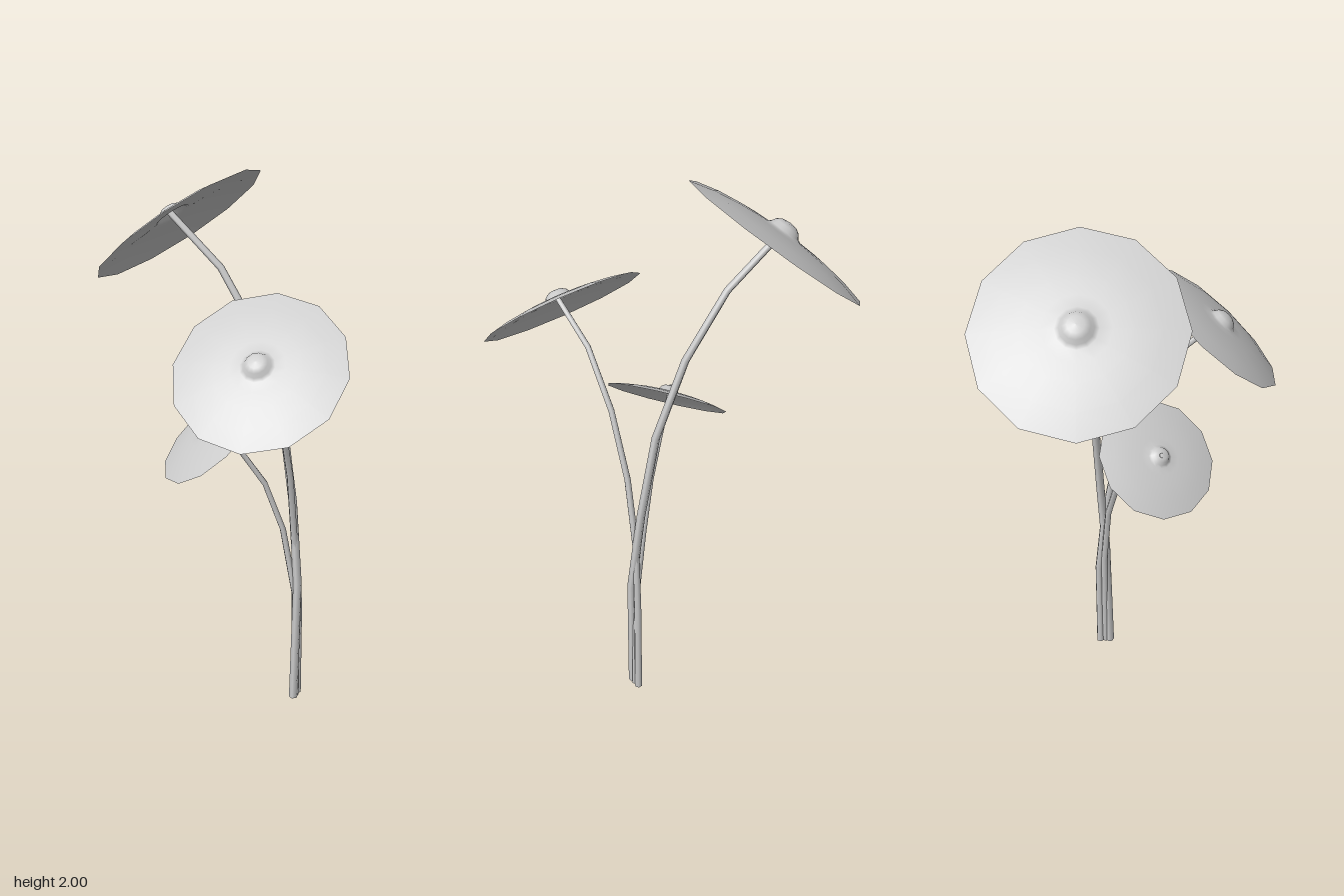
import * as THREE from 'three';

// Polyline path: one tube ring per control point
class StemPath extends THREE.Curve {
  constructor(points) {
    super();
    this.points = points.map((p) => new THREE.Vector3(...p));
    this.last = points.length - 1;
  }
  getPointAt(u, target = new THREE.Vector3()) {
    return target.copy(this.points[Math.round(u * this.last)]);
  }
  getPoint(u, target) {
    return this.getPointAt(u, target);
  }
  getTangentAt(u, target = new THREE.Vector3()) {
    const i = Math.round(u * this.last);
    const a = this.points[Math.max(i - 1, 0)];
    const b = this.points[Math.min(i + 1, this.last)];
    return target.subVectors(b, a).normalize();
  }
}

const SIDES = 6;

// Cap profile (radius, height) for a unit radius: shallow dome, shallow moat, central knob
const CAP_PROFILE = [
  [1, 0], [0.75, 0.06], [0.5, 0.095], [0.32, 0.108], [0.2, 0.115],
  [0.16, 0.135], [0.13, 0.18], [0.08, 0.21], [0, 0.22],
].map(([r, h]) => new THREE.Vector2(r, h));

const PLANTS = [
  {
    name: 'tall',
    center: [0.05, 1.78, -0.342], normal: [-0.2, 0.77, -0.6], radius: 0.342, corner: [0.07, -0.27],
    stemRadius: [0.017, 0.012],
    stem: [[0.197, 0, 0.157], [0.205, 0.5, 0.155], [0.206, 0.82, 0.118], [0.195, 1.15, 0.062],
      [0.163, 1.43, -0.04], [0.11, 1.65, -0.18], [0.033, 1.825, -0.38]],
  },
  {
    name: 'middle',
    center: [-0.148, 1.475, 0.34], normal: [-0.566, 0.75, 0.34], radius: 0.29, corner: [0.048, 0.27],
    stemRadius: [0.015, 0.01],
    stem: [[0.232, 0, 0.14], [0.23, 0.4, 0.137], [0.2, 0.68, 0.137], [0.155, 0.95, 0.157],
      [0.075, 1.19, 0.2], [-0.03, 1.385, 0.265], [-0.172, 1.515, 0.362]],
  },
  {
    name: 'short',
    center: [-0.073, 1.122, -0.007], normal: [-0.58, 0.754, -0.305], radius: 0.219, corner: [0.154, 0.06],
    stemRadius: [0.014, 0.009],
    stem: [[0.214, 0, 0.15], [0.207, 0.45, 0.14], [0.17, 0.72, 0.107], [0.11, 0.91, 0.072],
      [0.025, 1.055, 0.025], [-0.1, 1.158, -0.028]],
  },
];

function makeStem({ stem, stemRadius: [r0, r1] }, material) {
  const path = new StemPath(stem);
  const geometry = new THREE.TubeGeometry(path, path.last, 1, SIDES, false);
  // Taper each ring towards the cap
  const pos = geometry.attributes.position;
  const v = new THREE.Vector3();
  for (let i = 0; i < pos.count; i++) {
    const ring = Math.floor(i / (SIDES + 1));
    const c = path.points[ring];
    v.fromBufferAttribute(pos, i).sub(c);
    v.multiplyScalar(THREE.MathUtils.lerp(r0, r1, ring / path.last)).add(c);
    pos.setXYZ(i, v.x, Math.max(v.y, 0), v.z);
  }
  return new THREE.Mesh(geometry, material);
}

function makeCap({ center, normal, radius, corner }, material) {
  const mesh = new THREE.Mesh(new THREE.LatheGeometry(CAP_PROFILE, 12), material);
  // Tilt to the normal and turn so one rim corner falls on the given x, z offset
  const up = new THREE.Vector3(...normal).normalize();
  const [dx, dz] = corner;
  const front = new THREE.Vector3(dx, -(up.x * dx + up.z * dz) / up.y, dz).normalize();
  const side = new THREE.Vector3().crossVectors(up, front);
  mesh.quaternion.setFromRotationMatrix(new THREE.Matrix4().makeBasis(side, up, front));
  mesh.position.set(...center);
  mesh.scale.setScalar(radius);
  return mesh;
}

export function createModel() {
  const group = new THREE.Group();
  group.name = 'mushroomCluster';
  const material = new THREE.MeshStandardMaterial({ color: 0xcccccc, side: THREE.DoubleSide });
  for (const plant of PLANTS) {
    const mushroom = new THREE.Group();
    mushroom.name = `${plant.name}Mushroom`;
    const stem = makeStem(plant, material);
    stem.name = `${plant.name}Stem`;
    const cap = makeCap(plant, material);
    cap.name = `${plant.name}Cap`;
    mushroom.add(stem, cap);
    group.add(mushroom);
  }
  return group;
}
